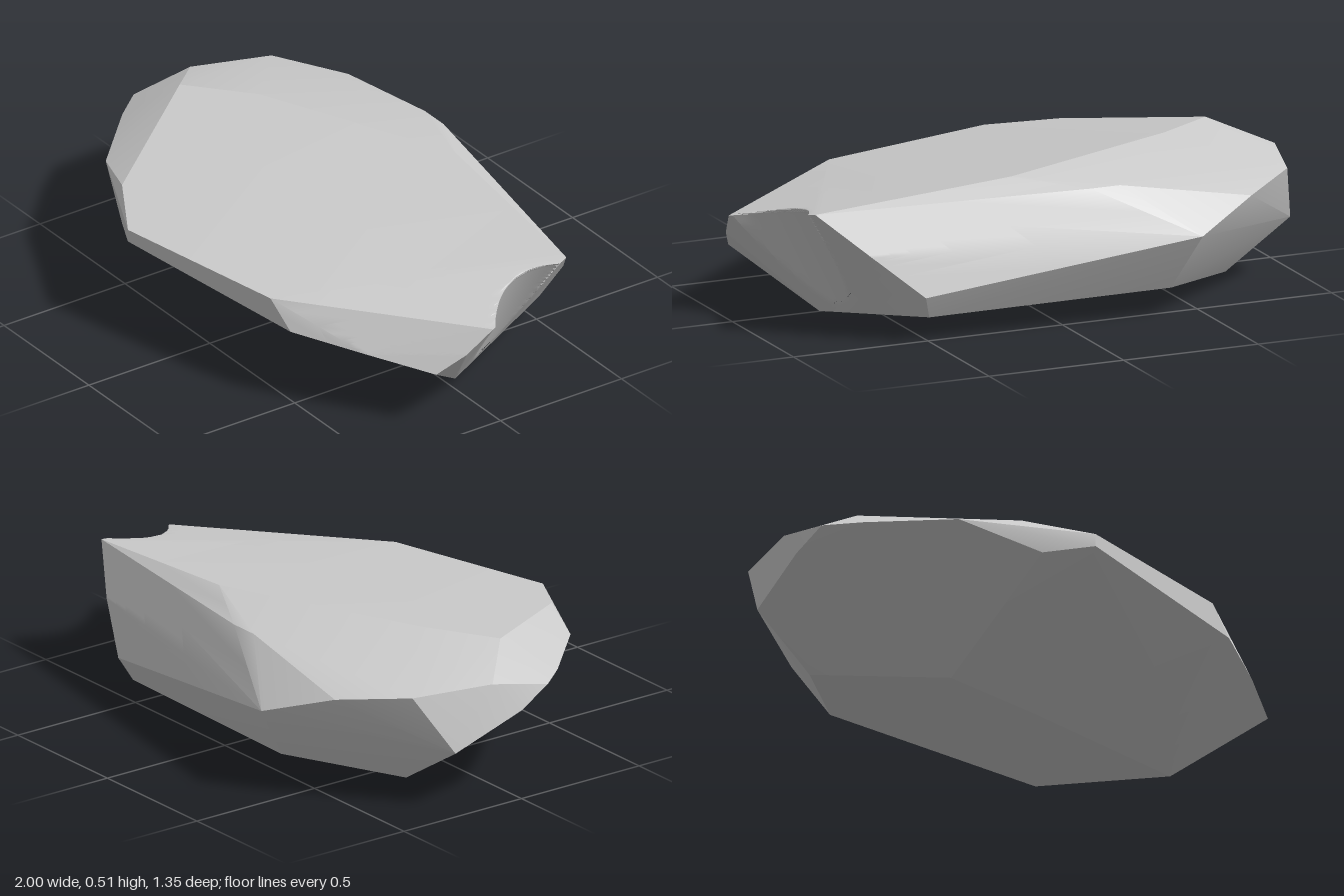
import * as THREE from 'three';
import { toCreasedNormals } from 'three/addons/utils/BufferGeometryUtils.js';
import { ConvexGeometry } from 'three/addons/geometries/ConvexGeometry.js';

// Corners of the cut stone, [x, y, z]
const topCorners = [
  [0.15, 0.515, -0.41], [0.86, 0.45, -0.37], [1, 0.365, 0.03], [0.4, 0.37, 0.53],
  [-0.24, 0.385, 0.67], [-0.46, 0.415, 0.54], [-0.79, 0.5, 0.07], [-0.56, 0.513, -0.1],
];
const rimCorners = [
  [-0.24, 0.34, 0.67], [0.49, 0.275, 0.51], [0.72, 0.245, 0.36], [0.92, 0.21, 0.21],
  [0.97, 0.28, 0.12], [0.7, 0.31, -0.47], [0.53, 0.165, -0.55], [-0.09, 0.475, -0.53],
  [-0.2, 0.475, -0.53], [-0.44, 0.305, -0.68], [-0.68, 0.39, -0.55], [-0.89, 0.42, -0.38],
  [-0.97, 0.43, -0.1], [-1, 0.32, 0], [-0.99, 0.385, 0.12], [-0.9, 0.385, 0.23],
  [-0.67, 0.385, 0.46], [-0.4, 0.3, 0.58],
];
const baseCorners = [
  [0.69, 0.01, -0.03], [0, 0, 0.07], [-0.38, 0.015, 0.08], [-0.71, 0.05, -0.27],
  [-0.96, 0.21, -0.25], [-0.38, 0.1, -0.55], [0.5, 0.085, -0.51],
];

// Split triangles that reach the chipped end, leaving the broad facets whole
function splitEnd(a, b, c, level, out) {
  if (level === 0 || Math.max(a.x, b.x, c.x) < 0.68) {
    out.push(a, b, c);
    return;
  }
  const ab = a.clone().lerp(b, 0.5);
  const bc = b.clone().lerp(c, 0.5);
  const ca = c.clone().lerp(a, 0.5);
  for (const t of [[a, ab, ca], [ab, b, bc], [ca, bc, c], [ab, bc, ca]]) {
    splitEnd(...t, level - 1, out);
  }
}

// Shallow concave chip in the +x end
function chip(p) {
  const limit = 0.83 + 3.2 * (p.z + 0.23) ** 2 - 0.5 * (0.43 - p.y);
  return new THREE.Vector3(Math.min(p.x, limit), p.y, p.z);
}

export function createModel() {
  const corners = [...topCorners, ...rimCorners, ...baseCorners].map((p) => new THREE.Vector3(...p));
  const hull = new ConvexGeometry(corners).getAttribute('position');
  const at = (i) => new THREE.Vector3().fromBufferAttribute(hull, i);

  const points = [];
  for (let i = 0; i < hull.count; i += 3) splitEnd(at(i), at(i + 1), at(i + 2), 5, points);

  const geometry = new THREE.BufferGeometry().setFromPoints(points.map(chip));
  const stone = new THREE.Mesh(
    toCreasedNormals(geometry, 0.3),
    new THREE.MeshStandardMaterial({ color: 0xcccccc }),
  );
  stone.name = 'rockSlab';

  const group = new THREE.Group();
  group.name = 'rock';
  group.add(stone);
  return group;
}
